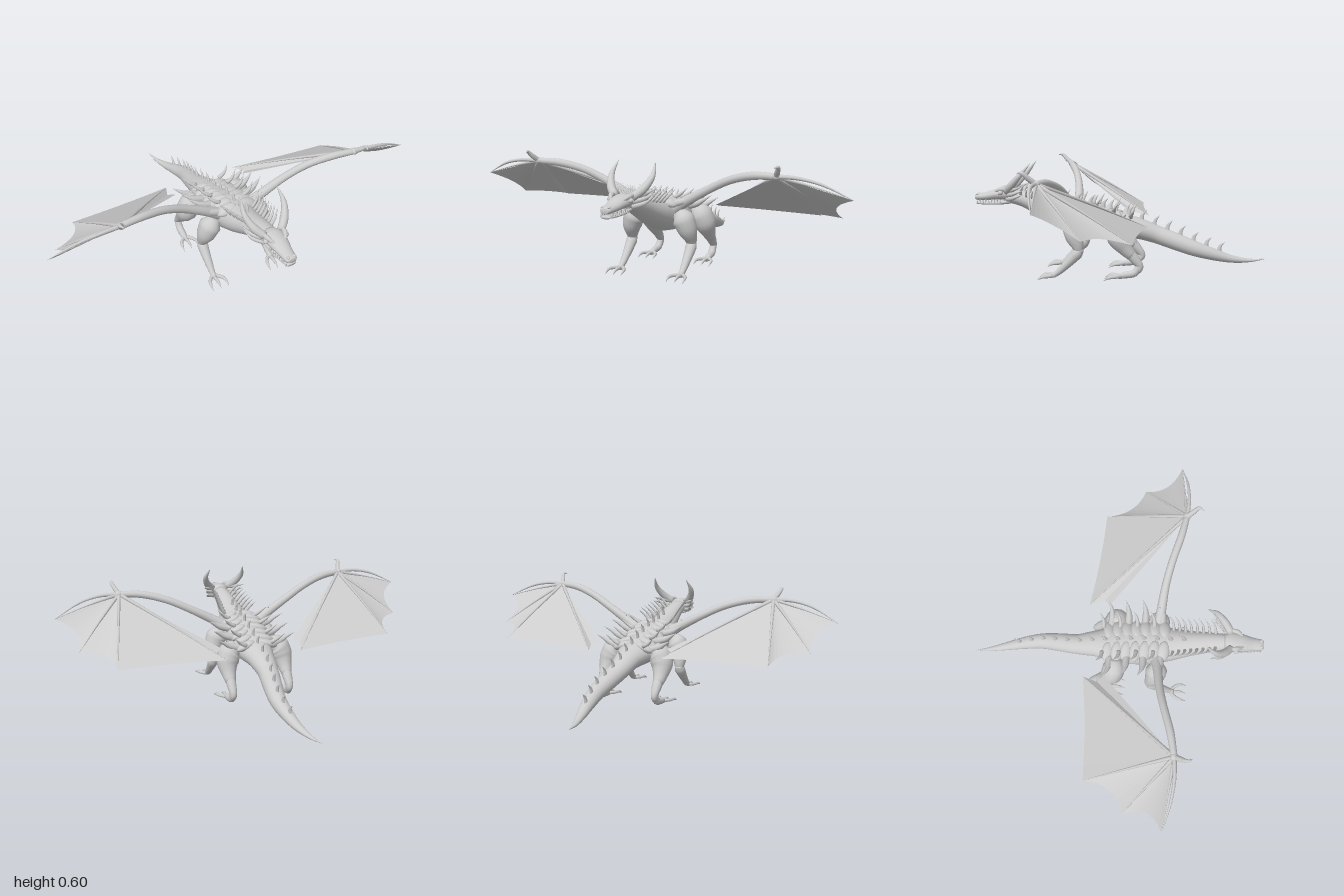
import * as THREE from 'three';

const stone = new THREE.MeshStandardMaterial({ color: 0xcccccc });
stone.name = 'stone grey';
const membraneGrey = stone.clone();
membraneGrey.name = 'membrane grey';
membraneGrey.side = THREE.DoubleSide;

export function createModel() {
  const model = new THREE.Group();
  model.name = 'dragon';

  const add = (name, geometry, material = stone) => {
    const mesh = new THREE.Mesh(geometry, material);
    mesh.name = name;
    model.add(mesh);
    return mesh;
  };

  // Closed tube through points [x, y, z, halfWidth, halfHeight = halfWidth]
  const tube = (name, pts, sides = 10, sub = 4) => {
    const curve = new THREE.CatmullRomCurve3(pts.map(p => new THREE.Vector3(p[0], p[1], p[2])));
    const span = curve.points.at(-1).clone().sub(curve.points[0]);
    const alongX = Math.abs(span.x) > Math.max(Math.abs(span.y), Math.abs(span.z));
    const ref = alongX ? new THREE.Vector3(0, 1, 0) : new THREE.Vector3(1, 0, 0);
    const steps = (pts.length - 1) * sub;
    const pos = [], idx = [];
    for (let i = -1; i <= steps + 1; i++) {
      const k = Math.min(Math.max(i, 0), steps), t = k / steps;
      const a = Math.min(Math.floor(k / sub), pts.length - 2), f = k / sub - a;
      const size = n => THREE.MathUtils.lerp(pts[a][n] ?? pts[a][3], pts[a + 1][n] ?? pts[a + 1][3], f);
      const open = i === k ? 1 : 0;
      const c = curve.getPoint(t), d = curve.getTangent(t);
      const u = ref.clone().cross(d).normalize(), v = d.clone().cross(u);
      for (let j = 0; j < sides; j++) {
        const ang = j / sides * Math.PI * 2;
        const p = c.clone().addScaledVector(u, open * size(4) * Math.cos(ang))
          .addScaledVector(v, open * size(3) * Math.sin(ang));
        pos.push(p.x, p.y, p.z);
      }
    }
    for (let i = 0; i < steps + 2; i++) for (let j = 0; j < sides; j++) {
      const p = i * sides + j, q = i * sides + (j + 1) % sides;
      idx.push(p, q, q + sides, p, q + sides, p + sides);
    }
    const g = new THREE.BufferGeometry();
    g.setAttribute('position', new THREE.Float32BufferAttribute(pos, 3));
    g.setIndex(idx);
    g.computeVertexNormals();
    return add(name, g);
  };

  const ball = (name, x, y, z, rx, ry, rz) => {
    const mesh = add(name, new THREE.SphereGeometry(1, 16, 12));
    mesh.position.set(x, y, z);
    mesh.scale.set(rx, ry, rz);
    return mesh;
  };

  // Neck, trunk and winding tail
  const spine = [
    [0, 0.42, 0.62, 0.04, 0.034], [0, 0.40, 0.52, 0.05, 0.042], [0, 0.355, 0.4, 0.068, 0.058],
    [0, 0.32, 0.3, 0.09, 0.075], [0, 0.295, 0.2, 0.108, 0.092], [0, 0.275, 0.1, 0.11, 0.085],
    [0, 0.262, 0, 0.1, 0.07], [0, 0.245, -0.1, 0.072, 0.056], [0, 0.212, -0.2, 0.055, 0.048],
    [0.015, 0.178, -0.3, 0.05, 0.046], [0.027, 0.143, -0.4, 0.043, 0.041], [0.02, 0.112, -0.5, 0.035, 0.032],
    [0.003, 0.085, -0.6, 0.024, 0.02], [-0.02, 0.074, -0.7, 0.012, 0.009], [-0.037, 0.08, -0.78, 0.001, 0.001],
  ];
  tube('body', spine, 20);
  const backAt = z => {
    const i = Math.max(1, spine.findIndex(p => p[2] <= z)), a = spine[i - 1], b = spine[i];
    const f = (a[2] - z) / (a[2] - b[2]), mix = n => THREE.MathUtils.lerp(a[n], b[n], f);
    return { x: mix(0), y: mix(1) + mix(4), mid: mix(1), w: mix(3) };
  };

  // Dorsal spines, hooked backwards
  for (let i = 0; i < 14; i++) {
    const z = 0.37 - i * 0.069, b = backAt(z), h = i < 11 ? 0.05 : 0.045;
    tube('dorsalSpine', [[b.x, b.y - 0.012, z, 0.009, 0.015], [b.x, b.y + h * 0.5, z - 0.008, 0.006, 0.009],
      [b.x, b.y + h, z - 0.032, 0.0006]], 7, 3);
  }

  // Head: skull with tapering snout, and lower jaw
  tube('skull', [[0, 0.425, 0.575, 0.038, 0.03], [0, 0.428, 0.61, 0.055, 0.034], [0, 0.425, 0.66, 0.05, 0.03],
    [0, 0.414, 0.72, 0.037, 0.022], [0, 0.41, 0.77, 0.03, 0.018], [0, 0.41, 0.782, 0.022, 0.012]], 14);
  tube('lowerJaw', [[0, 0.388, 0.59, 0.04, 0.014], [0, 0.38, 0.65, 0.042, 0.011],
    [0, 0.377, 0.72, 0.032, 0.009], [0, 0.378, 0.772, 0.024, 0.007]], 12);

  for (const s of [1, -1]) {
    const side = s > 0 ? 'left' : 'right';
    const limb = (part, pts, sides, sub) =>
      tube(side + part, pts.map(([x, ...rest]) => [x * s, ...rest]), sides, sub);

    // Face
    ball(side + 'Eye', 0.056 * s, 0.437, 0.635, 0.012, 0.012, 0.014);
    limb('Brow', [[0.03, 0.44, 0.67, 0.006], [0.048, 0.455, 0.635, 0.013], [0.052, 0.455, 0.59, 0.01]], 8);
    ball(side + 'Nostril', 0.016 * s, 0.425, 0.768, 0.008, 0.006, 0.01);
    for (let i = 0; i < 9; i++) {
      const tooth = add(side + 'Tooth', new THREE.ConeGeometry(0.005, 0.024, 6));
      tooth.position.set(s * (0.025 + i * 0.0018), 0.39, 0.768 - i * 0.016);
      if (i % 2) tooth.rotation.x = Math.PI;
    }
    limb('Horn', [[0.045, 0.445, 0.605, 0.02], [0.083, 0.48, 0.57, 0.021], [0.108, 0.535, 0.52, 0.014],
      [0.098, 0.598, 0.466, 0.001]], 12);
    for (let i = 0; i < 3; i++) {
      const y = 0.445 - i * 0.022;
      limb('CheekSpike', [[0.04, y, 0.6, 0.013], [0.085, y + 0.012, 0.56, 0.01],
        [0.122 - i * 0.01, y + 0.033, 0.505, 0.001]], 8, 3);
    }

    // Neck frill
    for (let i = 0; i < 8; i++) {
      const z = 0.53 - i * 0.031, b = backAt(z), x = b.w * 0.7;
      limb('NeckSpike', [[x, b.y - 0.022, z, 0.009], [x + 0.03, b.y + 0.012, z - 0.008, 0.006],
        [x + 0.056, b.y + 0.045, z - 0.034, 0.0006]], 6, 3);
    }

    // Overlapping back plates with outward spikes
    for (let i = 0; i < 7; i++) {
      const z = 0.265 - i * 0.049, b = backAt(z);
      const plate = ball(side + 'BackPlate', 0.062 * s, b.y - 0.022, z, 0.056, 0.022, 0.033);
      plate.rotation.set(0.25, 0, -0.35 * s);
    }
    for (let i = 0; i < 4; i++) {
      const z = 0.25 - i * 0.09, b = backAt(z);
      limb('FlankSpike', [[0.085, b.y - 0.035, z, 0.021], [0.14, b.y - 0.018, z, 0.018],
        [0.175, b.y + 0.002, z - 0.006, 0.01], [i ? 0.212 : 0.165, b.y + 0.025, z - 0.024, 0.001]], 8, 3);
      limb('SmallFlankSpike', [[0.07, b.y - 0.01, z - 0.04, 0.012], [0.105, b.y + 0.01, z - 0.045, 0.009],
        [0.135, b.y + 0.04, z - 0.066, 0.001]], 7, 3);
    }

    // Wing arm, thumb claw and fingers
    const wrist = [0.65, 0.545, 0.34];
    const tips = [[1, 0.455, 0.305], [0.91, 0.33, 0.11], [0.755, 0.29, -0.1], [0.205, 0.285, -0.15]];
    limb('WingArm', [[0.07, 0.32, 0.225, 0.035], [0.15, 0.372, 0.238, 0.026], [0.28, 0.445, 0.252, 0.021],
      [0.4, 0.503, 0.278, 0.02], [0.53, 0.538, 0.315, 0.02], [...wrist, 0.016]], 12);
    ball(side + 'WingWrist', s * 0.65, 0.545, 0.34, 0.022, 0.018, 0.02);
    limb('ThumbClaw', [[...wrist, 0.014], [0.665, 0.572, 0.372, 0.013], [0.676, 0.597, 0.4, 0.009],
      [0.665, 0.597, 0.425, 0.001]], 8);
    limb('LeadingFinger', [[...wrist, 0.012], [0.75, 0.545, 0.347, 0.009], [0.86, 0.522, 0.337, 0.007],
      [...tips[0], 0.001]], 8);
    tips.forEach((tip, i) => {
      const mid = wrist.map((w, k) => (w + tip[k]) / 2 + (k === 1 ? 0.006 : 0));
      limb('WingFinger', [[...wrist, 0.011], [...mid, i === 0 ? 0.004 : 0.006], [...tip, 0.001]], 7);
    });

    // Scalloped membrane fanning out from the wrist
    const V = p => new THREE.Vector3(p[0] * s, p[1], p[2]);
    const controls = [[0.86, 0.41, 0.25], [0.755, 0.335, 0.065], [0.48, 0.295, -0.105]];
    const edge = [];
    controls.forEach((c, i) =>
      edge.push(...new THREE.QuadraticBezierCurve3(V(tips[i]), V(c), V(tips[i + 1])).getPoints(8)));
    edge.push(V([0.235, 0.3, -0.07]), V([0.2, 0.31, -0.04]));
    const verts = [];
    for (let i = 0; i < edge.length - 1; i++) {
      for (const p of [V(wrist), edge[i], edge[i + 1]]) verts.push(p.x, p.y, p.z);
    }
    const membrane = new THREE.BufferGeometry();
    membrane.setAttribute('position', new THREE.Float32BufferAttribute(verts, 3));
    membrane.computeVertexNormals();
    add(side + 'WingMembrane', membrane, membraneGrey);

    // Front leg
    limb('FrontThigh', [[0.11, 0.315, 0.235, 0.03], [0.138, 0.28, 0.237, 0.058], [0.158, 0.225, 0.228, 0.05],
      [0.168, 0.175, 0.21, 0.032], [0.168, 0.14, 0.202, 0.02]], 14);
    limb('FrontShin', [[0.168, 0.165, 0.198, 0.022], [0.17, 0.135, 0.215, 0.029], [0.17, 0.08, 0.267, 0.022],
      [0.17, 0.03, 0.322, 0.015], [0.17, 0.018, 0.345, 0.013]], 12);

    // Hind leg
    limb('HindThigh', [[0.095, 0.295, 0.01, 0.035], [0.135, 0.265, 0.01, 0.062], [0.155, 0.215, -0.003, 0.06],
      [0.16, 0.165, -0.035, 0.04], [0.16, 0.125, -0.07, 0.027]], 14);
    limb('HindShin', [[0.16, 0.15, -0.05, 0.03], [0.16, 0.105, -0.088, 0.025], [0.16, 0.068, -0.113, 0.018],
      [0.16, 0.045, -0.1, 0.017]], 12);
    limb('HindFoot', [[0.16, 0.075, -0.11, 0.017], [0.162, 0.036, -0.085, 0.02], [0.165, 0.024, -0.03, 0.018],
      [0.166, 0.015, 0, 0.012]], 12);

    // Toes with curved claws
    for (const [part, x, z] of [['FrontToe', 0.17, 0.33], ['HindToe', 0.165, -0.015]]) {
      for (const k of [-1, 0, 1]) {
        limb(part, [[x + k * 0.006, 0.02, z, 0.01], [x + k * 0.032, 0.02, z + 0.028, 0.009],
          [x + k * 0.043, 0.019, z + 0.056, 0.008], [x + k * 0.044, 0.003, z + 0.088, 0.001]], 8);
      }
    }
  }
  return model;
}
